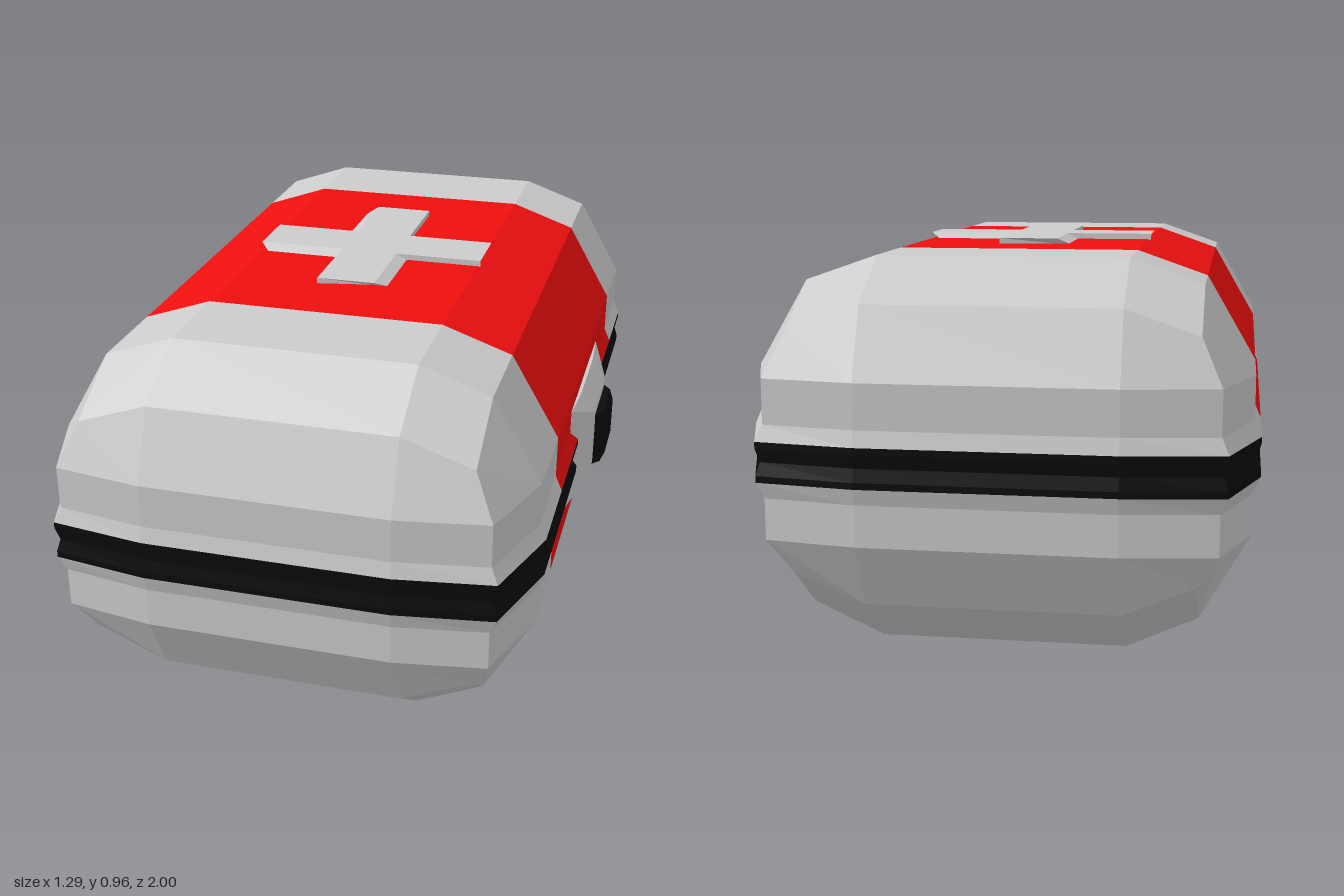
import * as THREE from 'three';
import { ConvexGeometry } from 'three/addons/geometries/ConvexGeometry.js';

const material = (color) => new THREE.MeshStandardMaterial({ color, flatShading: true });
const GREY = material(0xcccccc);
const RED = material(0xef0f0f);
const BLACK = material(0x0b0b0b);

const CX = -0.033; // the case sits slightly off centre to make room for the latch
const STRIPE = 0.495, SHOULDER = 0.74, END = 0.303;

// Mesh from a flat list of points, three per triangle
function meshOf(points, mat, name) {
  const geo = new THREE.BufferGeometry().setFromPoints(points);
  geo.computeVertexNormals();
  const mesh = new THREE.Mesh(geo, mat);
  mesh.name = name;
  return mesh;
}

// Quad a-b-c-d, counter-clockwise seen from outside
const quad = (out, a, b, c, d) => out.push(a, b, c, a, c, d);

// Sides between two rings, both running from +x towards +z
function skin(lo, hi, pick) {
  lo.forEach((p, i) => {
    const j = (i + 1) % lo.length;
    quad(pick(i), p, hi[i], hi[j], lo[j]);
  });
}

// One level of the case: side edge, corner and end edge, mirrored to 16 points
function caseRing([ax, ay, cx, cy, cz, by, bz]) {
  const q = [[ax, ay, STRIPE], [ax, ay, SHOULDER], [cx, cy, cz], [END, by, bz]];
  const r = [...q].reverse();
  const place = (list, sx, sz) => list.map(([x, y, z]) => new THREE.Vector3(CX + sx * x, y, sz * z));
  return [...place(q, 1, 1), ...place(r, -1, 1), ...place(q, -1, -1), ...place(r, 1, -1)];
}

function buildCase(group) {
  const wall = (y, d = 0) => [0.6 + d, y, 0.527 + d, y, 0.955 + d * 0.6, y, 0.99 + d * 0.6];
  const flat = (y) => [END, y, END, y, SHOULDER, y, SHOULDER];
  const levels = [
    flat(0),
    [0.478, 0.08, 0.478, 0.21, 0.912, 0.135, 0.912],
    wall(0.295), wall(0.395),
    wall(0.434, 0.017), wall(0.45, 0.017), wall(0.482, 0.007), wall(0.515, 0.017), wall(0.531, 0.017),
    wall(0.57), wall(0.678),
    [0.478, 0.887, 0.478, 0.788, 0.915, 0.848, 0.915],
    flat(0.948),
  ];
  const rings = levels.map(caseRing);
  const grey = [], red = [], black = [];
  for (let k = 0; k < rings.length - 1; k++) {
    const isSeal = k >= 4 && k < 8;
    skin(rings[k], rings[k + 1], (i) => (isSeal ? black : i === 7 || i === 15 ? red : grey));
  }
  // Flat top and bottom, each in three strips
  const zs = [-SHOULDER, -STRIPE, STRIPE, SHOULDER];
  for (let s = 0; s < 3; s++) {
    const out = s === 1 ? red : grey;
    const corner = (sx, y, z) => new THREE.Vector3(CX + sx * END, y, z);
    const strip = (y) => [corner(-1, y, zs[s]), corner(-1, y, zs[s + 1]), corner(1, y, zs[s + 1]), corner(1, y, zs[s])];
    quad(out, ...strip(0.948));
    quad(out, ...strip(0).reverse());
  }
  group.add(meshOf(grey, GREY, 'caseShell'), meshOf(red, RED, 'redStripe'), meshOf(black, BLACK, 'rubberSeal'));
}

// Raised cross with one sloping side on each arm
function buildCross(group) {
  const w = 0.077, L = 0.31, slope = 0.038;
  const turn = (pts, y) => {
    const ring = [];
    for (let k = 0; k < 4; k++) {
      for (const [u, v] of pts) {
        const p = new THREE.Vector3(u, y, -v).applyAxisAngle(new THREE.Vector3(0, 1, 0), k * Math.PI / 2);
        ring.push(p.add(new THREE.Vector3(CX, 0, -0.007)));
      }
    }
    return ring.reverse();
  };
  const top = turn([[w, L], [-w, L], [-w, w]], 0.963);
  const base = turn([[w, L], [-w - slope, L - 0.035], [-w - slope, w]], 0.943);
  const tris = [];
  skin(base, top, () => tris);
  const mid = new THREE.Vector3(CX, 0.963, -0.007);
  top.forEach((p, i) => tris.push(mid, top[(i + 1) % top.length], p));
  group.add(meshOf(tris, GREY, 'cross'));
}

function buildLatch(group) {
  const latch = new THREE.Group();
  latch.name = 'latch';
  // Faceted backing plate
  const pts = [];
  for (const sy of [-1, 1]) {
    for (const sz of [-1, 1]) {
      for (const [x, y, z] of [[0.5, 0.143, 0.245], [0.568, 0.143, 0.245], [0.576, 0.143, 0.12], [0.615, 0.088, 0.115]]) {
        pts.push(new THREE.Vector3(x, 0.487 + sy * y, sz * z));
      }
    }
  }
  const plate = new THREE.Mesh(new ConvexGeometry(pts), GREY);
  plate.name = 'latchPlate';

  // Waisted clasp: y, front x, half width at the back and at the front
  const rings = [[0.409, 0.634, 0.115, 0.08], [0.432, 0.645, 0.1, 0.068], [0.533, 0.645, 0.1, 0.068], [0.558, 0.634, 0.115, 0.08]]
    .map(([y, x, back, front]) => [[x, -front], [x, front], [0.606, back], [0.56, back], [0.56, -back], [0.606, -back]]
      .map(([px, pz]) => new THREE.Vector3(px, y, pz)));
  const tris = [];
  for (let k = 0; k < 3; k++) skin(rings[k], rings[k + 1], () => tris);
  const [lo, hi] = [rings[0], rings[3]];
  for (let i = 1; i < 5; i++) tris.push(lo[0], lo[i], lo[i + 1], hi[0], hi[i + 1], hi[i]);
  latch.add(plate, meshOf(tris, BLACK, 'latchClasp'));
  group.add(latch);
}

export function createModel() {
  const group = new THREE.Group();
  group.name = 'firstAidCase';
  buildCase(group);
  buildCross(group);
  buildLatch(group);
  return group;
}
